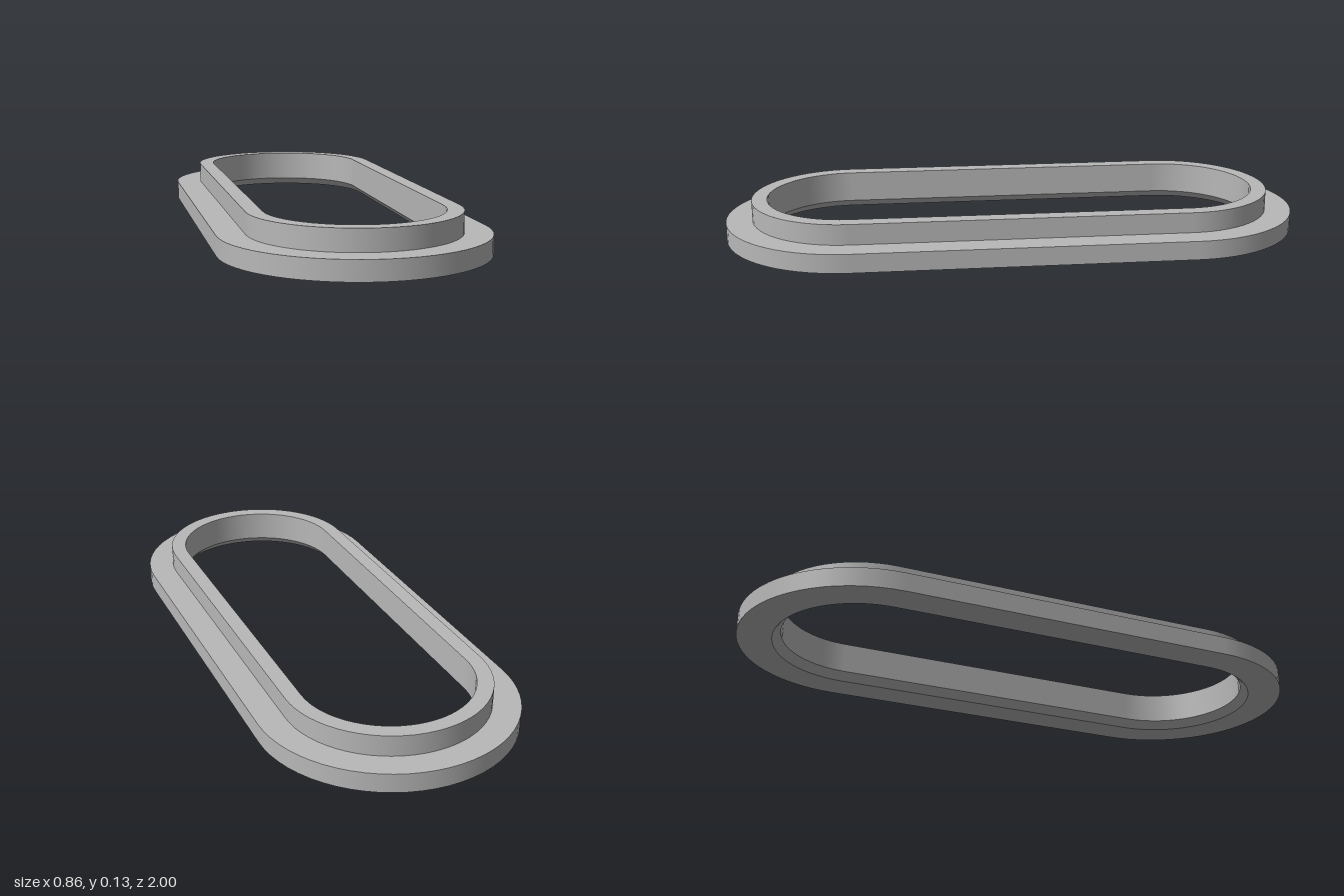
import * as THREE from 'three';

const HALF_STRAIGHT = 0.571; // distance from the middle to each arc centre
const ARC_STEPS = 32;

// Stations round the slot outline: arc centre z and outward direction
function stations() {
  const list = [];
  for (const side of [1, -1]) {
    for (let i = 0; i <= ARC_STEPS; i++) {
      const t = Math.PI * (i / ARC_STEPS + (side > 0 ? 0 : 1));
      list.push({ z: side * HALF_STRAIGHT, cx: Math.cos(t), cz: Math.sin(t) });
    }
  }
  return list;
}

// Sweep a [radius, height] profile round the outline; each profile edge stays crisp
function sweep(profile) {
  const path = stations(), n = path.length;
  const position = [], normal = [], index = [];
  for (let k = 0; k < profile.length - 1; k++) {
    const [r0, y0] = profile[k], [r1, y1] = profile[k + 1];
    const len = Math.hypot(r1 - r0, y1 - y0);
    const nr = (y1 - y0) / len, ny = (r0 - r1) / len;
    const base = position.length / 3;
    path.forEach(({ z, cx, cz }, j) => {
      position.push(r0 * cx, y0, z + r0 * cz, r1 * cx, y1, z + r1 * cz);
      normal.push(nr * cx, ny, nr * cz, nr * cx, ny, nr * cz);
      const a = base + 2 * j, c = base + 2 * ((j + 1) % n);
      index.push(a, a + 1, c, a + 1, c + 1, c);
    });
  }
  const g = new THREE.BufferGeometry();
  g.setAttribute('position', new THREE.Float32BufferAttribute(position, 3));
  g.setAttribute('normal', new THREE.Float32BufferAttribute(normal, 3));
  g.setIndex(index);
  return g;
}

export function createModel() {
  const group = new THREE.Group();
  group.name = 'slotRing';
  const grey = new THREE.MeshStandardMaterial({ color: 0xb8b8b8 });
  grey.name = 'grey';

  const outer = 0.429, collar = 0.339, inner = 0.286;
  const step = 0.064, top = 0.134, chamfer = 0.027;

  const parts = {
    // wide foot: underside, outer wall and ledge
    baseFlange: [[inner + chamfer, 0], [outer, 0], [outer, step], [collar, step]],
    // raised rim: outer wall, top and bore
    raisedCollar: [[collar, step], [collar, top], [inner, top], [inner, chamfer]],
    // bevel at the bottom of the bore
    boreChamfer: [[inner, chamfer], [inner + chamfer, 0]],
  };
  for (const [name, profile] of Object.entries(parts)) {
    const mesh = new THREE.Mesh(sweep(profile), grey);
    mesh.name = name;
    group.add(mesh);
  }
  return group;
}
